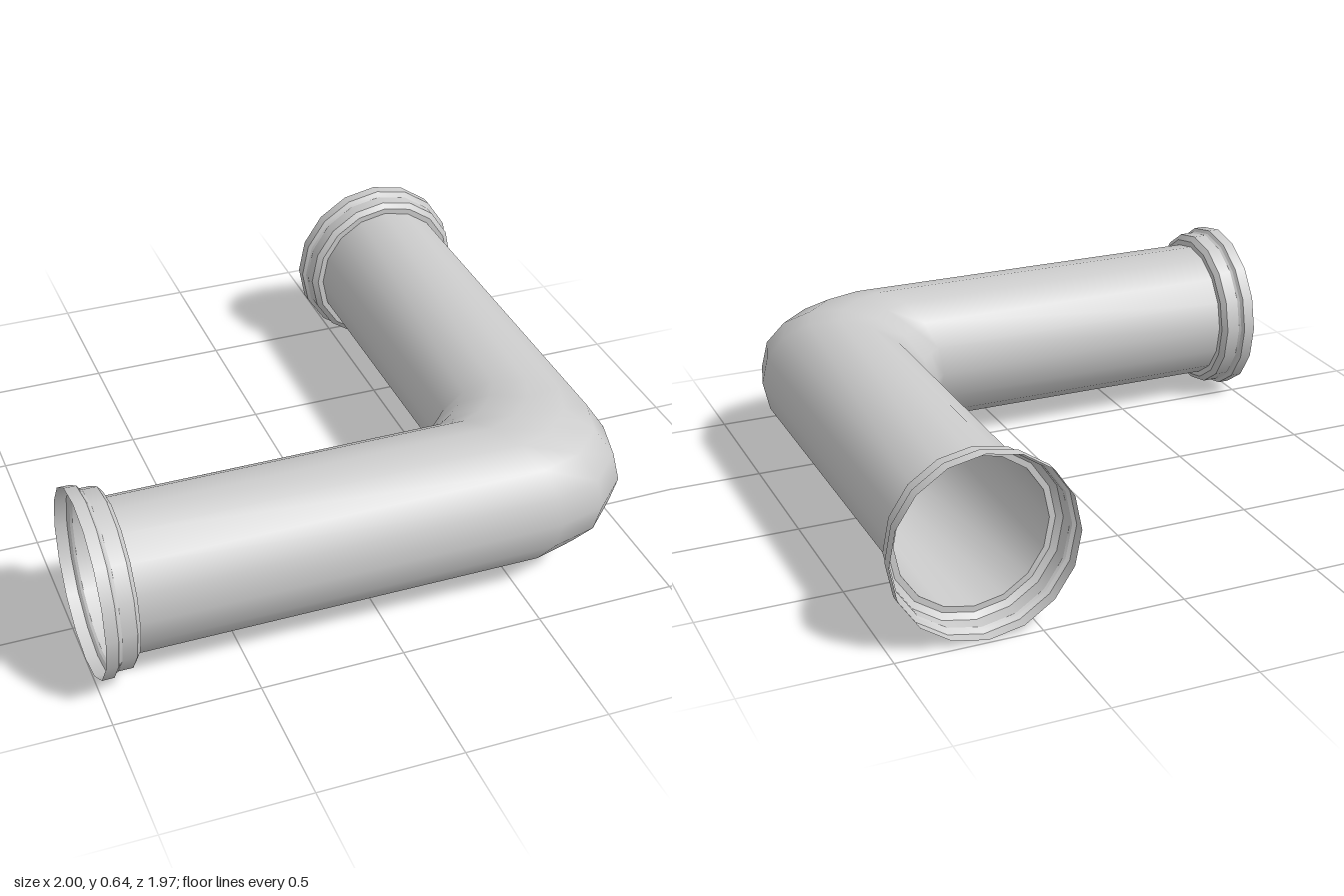
import * as THREE from 'three';
import { mergeGeometries } from 'three/addons/utils/BufferGeometryUtils.js';

const SIDES = 16;
const AXIS_Y = 0.32;   // height of the pipe's centre line
const RADIUS = 0.262;  // pipe radius

const material = new THREE.MeshStandardMaterial({ color: 0xcccccc, side: THREE.DoubleSide });

// Skin of the elbow: each section is [innerX, innerZ, outerX, outerZ]
function pipeGeometry(sections) {
  const positions = [], index = [];
  sections.forEach(([ix, iz, ox, oz], i) => {
    for (let j = 0; j < SIDES; j++) {
      const a = (j / SIDES) * Math.PI * 2;
      const t = (1 + Math.cos(a)) / 2;
      positions.push(ix + (ox - ix) * t, AXIS_Y + RADIUS * Math.sin(a), iz + (oz - iz) * t);
      if (i < sections.length - 1) {
        const p = i * SIDES + j, q = i * SIDES + (j + 1) % SIDES;
        index.push(p, p + SIDES, q, q, p + SIDES, q + SIDES);
      }
    }
  });
  const geometry = new THREE.BufferGeometry();
  geometry.setAttribute('position', new THREE.Float32BufferAttribute(positions, 3));
  geometry.setIndex(index);
  geometry.computeVertexNormals();
  return geometry;
}

// Stepped open collar; one lathe per band keeps the steps crisp
function collarGeometry() {
  const profile = [
    [0.32, 0], [0.32, 0.042], [0.308, 0.05], [0.303, 0.058],
    [0.303, 0.108], [0.283, 0.124], [RADIUS, 0.124],
  ].map(([r, y]) => new THREE.Vector2(r, y));
  const bands = [];
  for (let i = 0; i < profile.length - 1; i++) {
    bands.push(new THREE.LatheGeometry([profile[i], profile[i + 1]], SIDES));
  }
  return mergeGeometries(bands);
}

export function createModel() {
  const model = new THREE.Group();
  model.name = 'pipeElbow';

  const add = (name, geometry) => {
    const mesh = new THREE.Mesh(geometry, material);
    mesh.name = name;
    model.add(mesh);
    return mesh;
  };

  // Two straight runs joined by a bend with a bevelled inner corner
  add('pipe', pipeGeometry([
    [-0.876, 0.401, -0.876, 0.925],
    [0.295, 0.401, 0.60, 0.925],
    [0.335, 0.359, 0.77, 0.88],
    [0.376, 0.317, 0.897, 0.755],
    [0.418, 0.275, 0.942, 0.59],
    [0.418, -0.861, 0.942, -0.861],
  ]));

  // Collars at both open ends
  const collar = collarGeometry();
  const rightCollar = add('rightCollar', collar);
  rightCollar.rotation.z = -Math.PI / 2;
  rightCollar.position.set(-1, AXIS_Y, 0.663);

  const backCollar = add('backCollar', collar);
  backCollar.rotation.x = Math.PI / 2;
  backCollar.position.set(0.68, AXIS_Y, -0.985);

  return model;
}
